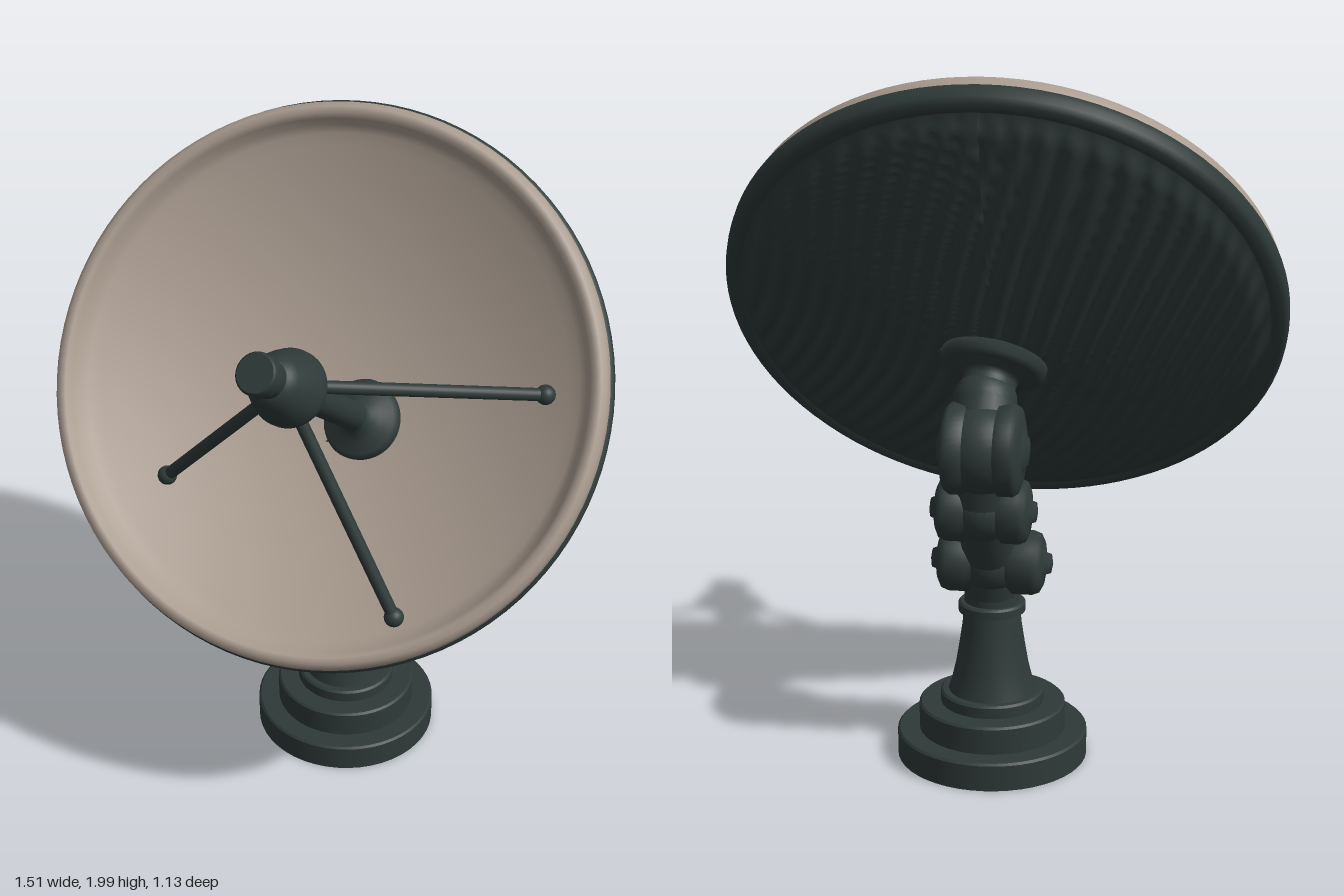
import * as THREE from 'three';

const V = (x, y, z) => new THREE.Vector3(x, y, z);
const UP = V(0, 1, 0);
const cream = new THREE.MeshStandardMaterial({ color: 0xaa9c90 });
cream.name = 'warm grey reflector';
const dark = new THREE.MeshStandardMaterial({ color: 0x2e3a38 });
dark.name = 'dark green metal';

// Turned part; segments of the profile keep sharp edges where a point is repeated
function lathe(points, segments = 48) {
  return new THREE.LatheGeometry(points.map(([r, y]) => new THREE.Vector2(r, y)), segments);
}

export function createModel() {
  const model = new THREE.Group();

  function add(name, geometry, material = dark, parent = model) {
    const mesh = new THREE.Mesh(geometry, material);
    mesh.name = name;
    parent.add(mesh);
    return mesh;
  }
  // Turned part whose axis starts at a point and runs along a direction
  function turned(name, points, from, dir) {
    const mesh = add(name, lathe(points));
    mesh.position.copy(from);
    mesh.quaternion.setFromUnitVectors(UP, dir.clone().normalize());
    return mesh;
  }
  function rod(name, a, b, r0, r1 = r0) {
    const dir = b.clone().sub(a);
    const mesh = add(name, new THREE.CylinderGeometry(r1, r0, dir.length(), 24));
    mesh.position.copy(a).add(b).multiplyScalar(0.5);
    mesh.quaternion.setFromUnitVectors(UP, dir.normalize());
  }
  function ball(name, p, r) {
    add(name, new THREE.SphereGeometry(r, 28, 18)).position.copy(p);
  }

  // Stepped round base and flared pedestal
  const foot = V(0.087, 0, -0.14);
  const tier = (name, r, y0, y1) => {
    const b = 0.006;
    turned(name, [[0, y0], [r, y0], [r, y0], [r, y1 - b], [r, y1 - b], [r - b, y1], [r - b, y1], [0, y1]], foot, UP);
  };
  tier('baseLower', 0.277, 0, 0.082);
  tier('baseMiddle', 0.213, 0.08, 0.163);
  tier('baseUpper', 0.15, 0.16, 0.2);
  turned('pedestal', [[0.128, 0.195], [0.117, 0.23], [0.105, 0.28], [0.095, 0.34], [0.086, 0.4], [0.08, 0.46]], foot, UP);
  tier('collar', 0.097, 0.443, 0.472);
  tier('neck', 0.08, 0.465, 0.54);

  // Dish frame: local y is the dish axis, x is sideways, z runs up the dish
  const axis = V(-0.37, 0.56, 0.74).normalize();
  const side = UP.clone().cross(axis).negate().normalize();
  const upDish = side.clone().cross(axis);
  const centre = V(0, 1.32, 0);

  // Articulated arm: three pivots joined by round links
  const pivots = [
    { p: V(0.095, 0.6, -0.165), r: 0.092, half: 0.15 },
    { p: V(0.145, 0.785, -0.25), r: 0.092, half: 0.13 },
    { p: V(0.155, 0.97, -0.28), r: 0.128, half: 0.11 },
  ];
  pivots.forEach(({ p, r, half }, i) => {
    ball('pivotCore' + i, p, r);
    for (const s of [1, -1]) {
      turned('pivotCap' + i, [
        [r * 0.8, 0], [r * 0.8, half * 0.3], [r, half * 0.42], [r, half * 0.8],
        [r * 0.92, half * 0.93], [r * 0.7, half], [r * 0.35, half * 1.04],
        [r * 0.3, half * 1.14], [0, half * 1.18],
      ], p, side.clone().multiplyScalar(s));
    }
  });
  rod('armRoot', V(0.087, 0.5, -0.14), pivots[0].p, 0.08);
  rod('lowerLink', pivots[0].p, pivots[1].p, 0.08);
  rod('upperLink', pivots[1].p, pivots[2].p, 0.085);

  // Elbow and flange that carry the dish
  const elbow = V(0.13, 1.085, -0.215);
  rod('elbowTube', pivots[2].p, elbow, 0.095, 0.09);
  ball('elbow', elbow, 0.09);
  turned('dishMount', [
    [0.082, 0], [0.075, 0.06], [0.08, 0.08], [0.13, 0.09], [0.15, 0.1], [0.15, 0.13], [0, 0.15],
  ], elbow, centre.clone().addScaledVector(axis, -0.18).sub(elbow));

  const dish = new THREE.Group();
  dish.name = 'dish';
  dish.position.copy(centre);
  dish.quaternion.setFromRotationMatrix(new THREE.Matrix4().makeBasis(side, axis, upDish));
  model.add(dish);

  // Concave reflector with a rolled lip
  const front = [[0.79, -0.015], [0.795, 0.01], [0.79, 0.035], [0.775, 0.05], [0.757, 0.05], [0.743, 0.035], [0.73, 0.008]];
  for (let i = 23; i >= 0; i--) {
    const r = 0.71 * i / 23;
    front.push([r, -0.18 + 0.345 * r * r]);
  }
  add('reflector', lathe(front, 96), cream, dish);

  // Dark outer band behind the lip
  add('rimBand', lathe([
    [0.74, -0.055], [0.765, -0.068], [0.785, -0.066], [0.8, -0.052], [0.803, -0.03], [0.803, -0.01], [0.79, -0.002],
  ], 96), dark, dish);

  // Back shell with wavy ribs running up the dish
  const backPoints = [];
  for (let i = 0; i <= 64; i++) {
    const r = 0.77 * i / 64;
    backPoints.push([r, -0.195 + 0.235 * r * r]);
  }
  const back = lathe(backPoints, 220);
  const pos = back.attributes.position;
  for (let i = 0; i < pos.count; i++) {
    const x = pos.getX(i), z = pos.getZ(i), r = Math.hypot(x, z);
    const q = x - 0.45 * z + 0.2 * z * z + 0.02 * Math.sin(5 * z + 3 * x);
    const rib = Math.abs(Math.sin(q * 46 + 0.8 * Math.sin(4 * z - 7 * x)));
    const fade = THREE.MathUtils.smoothstep(0.76 - r, 0, 0.06);
    pos.setY(i, pos.getY(i) - 0.024 * rib * fade);
  }
  back.computeVertexNormals();
  add('ribbedBack', back, dark, dish);

  // Feed: foot plate, stem and tapered horn
  const feedFoot = V(0.11, 1.165, -0.055);
  const feedDir = V(-0.48, 0.62, 0.62).normalize();
  const onFeed = (t) => feedFoot.clone().addScaledVector(feedDir, t);
  turned('feedFoot', [[0.118, -0.05], [0.118, 0], [0.105, 0.012], [0.07, 0.022], [0.05, 0.04], [0.042, 0.06]], feedFoot, feedDir);
  rod('feedStem', onFeed(0), onFeed(0.5), 0.042);
  turned('feedHorn', [
    [0, 0.465], [0.07, 0.468], [0.095, 0.485], [0.106, 0.51], [0.106, 0.53],
    [0.095, 0.57], [0.075, 0.63], [0.06, 0.65], [0.052, 0.655],
  ], feedFoot, feedDir);
  turned('feedTip', [
    [0.05, 0.64], [0.05, 0.685], [0.058, 0.69], [0.058, 0.69], [0.058, 0.73], [0.052, 0.737], [0.052, 0.737], [0, 0.737],
  ], feedFoot, feedDir);

  // Three struts from the horn to the reflector
  for (const end of [V(0.57, 1.375, 0.23), V(-0.45, 1.02, -0.07), V(0.12, 0.83, 0.445)]) {
    const toEnd = end.clone().sub(onFeed(0.5));
    toEnd.addScaledVector(feedDir, -toEnd.dot(feedDir)).normalize();
    rod('strut', onFeed(0.5).addScaledVector(toEnd, 0.07), end, 0.018);
    ball('strutFoot', end, 0.028);
  }
  return model;
}
